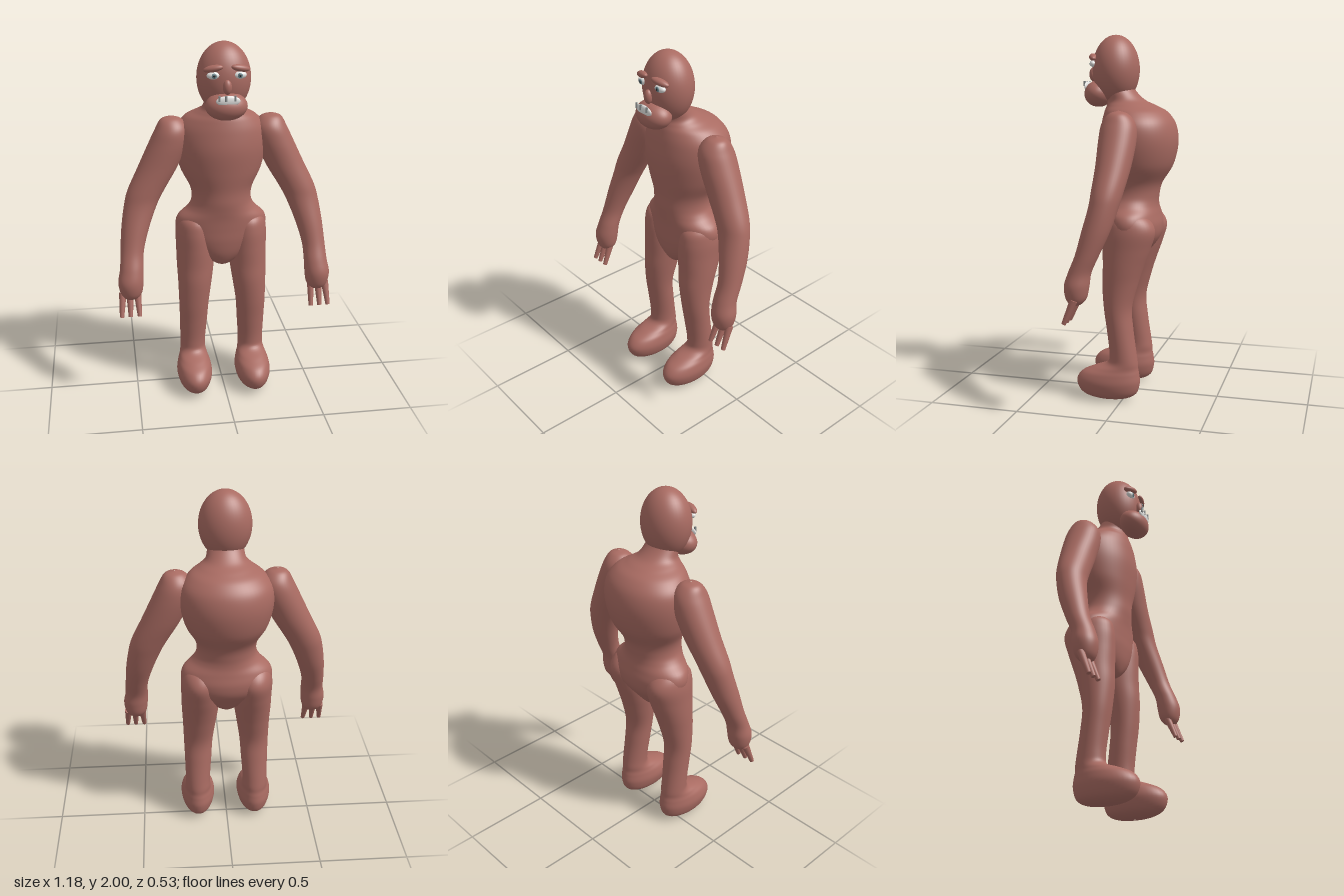
import * as THREE from 'three';

const mat = (name, color) => Object.assign(new THREE.MeshStandardMaterial({ color }), { name });

// Smooth closed body from horizontal elliptical sections, bottom to top: [x, y, z, radiusX, radiusZ]
function loft(sections, side = 1, rings = 64, segs = 40) {
  const centres = new THREE.CatmullRomCurve3(
    sections.map(([x, y, z]) => new THREE.Vector3(x * side, y, z)), false, 'catmullrom', 0.5);
  const radii = new THREE.CatmullRomCurve3(
    sections.map(([, , , rx, rz]) => new THREE.Vector3(rx, 0, rz)), false, 'catmullrom', 0.5);
  const pos = [], idx = [];
  for (let j = 0; j <= rings; j++) {
    const c = centres.getPoint(j / rings), r = radii.getPoint(j / rings);
    for (let i = 0; i < segs; i++) {
      const a = (i / segs) * Math.PI * 2;
      pos.push(c.x + Math.cos(a) * r.x, c.y, c.z + Math.sin(a) * r.z);
      if (j < rings) {
        const p = j * segs + i, q = j * segs + (i + 1) % segs;
        idx.push(p, p + segs, q, q, p + segs, q + segs);
      }
    }
  }
  const g = new THREE.BufferGeometry();
  g.setAttribute('position', new THREE.Float32BufferAttribute(pos, 3));
  g.setIndex(idx);
  g.computeVertexNormals();
  return g;
}

// Tapered rod from point a to point b
function rod(a, b, ra, rb) {
  const from = new THREE.Vector3(...a), dir = new THREE.Vector3(...b).sub(from);
  const g = new THREE.CylinderGeometry(rb, ra, dir.length(), 14);
  g.applyQuaternion(new THREE.Quaternion().setFromUnitVectors(
    new THREE.Vector3(0, 1, 0), dir.clone().normalize()));
  return g.translate(...from.addScaledVector(dir, 0.5).toArray());
}

const TORSO = [
  [0, 0.745, 0.01, 0.003, 0.003], [0, 0.76, 0.01, 0.05, 0.06], [0, 0.82, 0, 0.14, 0.105],
  [0, 0.9, -0.022, 0.22, 0.142], [0, 0.97, -0.027, 0.253, 0.15], [0, 1.03, -0.02, 0.242, 0.146],
  [0, 1.08, -0.012, 0.19, 0.144], [0, 1.13, -0.01, 0.165, 0.148], [0, 1.2, -0.017, 0.172, 0.158],
  [0, 1.3, -0.04, 0.222, 0.195], [0, 1.42, -0.048, 0.25, 0.213], [0, 1.52, -0.046, 0.245, 0.201],
  [0, 1.585, -0.03, 0.2, 0.172], [0, 1.62, -0.005, 0.145, 0.137], [0, 1.65, 0.025, 0.108, 0.103],
  [0, 1.7, 0.06, 0.095, 0.085], [0, 1.76, 0.08, 0.08, 0.07]];

const LEG = [
  [0.17, 0.003, 0.08, 0.003, 0.003], [0.17, 0.01, 0.08, 0.045, 0.095], [0.17, 0.04, 0.083, 0.082, 0.158],
  [0.17, 0.1, 0.085, 0.1, 0.18], [0.17, 0.15, 0.072, 0.094, 0.163], [0.17, 0.182, 0.042, 0.082, 0.127],
  [0.17, 0.215, 0.002, 0.073, 0.085], [0.17, 0.27, 0, 0.072, 0.075], [0.166, 0.4, 0.017, 0.078, 0.073],
  [0.163, 0.52, 0.03, 0.084, 0.077], [0.155, 0.65, 0.02, 0.095, 0.098], [0.15, 0.75, 0.003, 0.104, 0.113],
  [0.147, 0.85, -0.014, 0.108, 0.132], [0.148, 0.95, -0.028, 0.107, 0.144],
  [0.148, 1.02, -0.02, 0.088, 0.115], [0.15, 1.06, -0.02, 0.03, 0.04]];

const ARM = [
  [0.52, 0.617, 0.155, 0.003, 0.003], [0.52, 0.627, 0.153, 0.038, 0.032], [0.52, 0.66, 0.15, 0.06, 0.055],
  [0.52, 0.72, 0.147, 0.069, 0.065], [0.512, 0.79, 0.132, 0.064, 0.06], [0.505, 0.88, 0.095, 0.064, 0.062],
  [0.482, 1.0, 0.055, 0.076, 0.073], [0.448, 1.12, 0.024, 0.09, 0.077], [0.415, 1.2, 0.012, 0.1, 0.083],
  [0.35, 1.32, 0, 0.107, 0.092], [0.29, 1.45, -0.005, 0.105, 0.099], [0.268, 1.53, -0.005, 0.088, 0.09],
  [0.27, 1.582, -0.005, 0.055, 0.052], [0.272, 1.6, -0.005, 0.003, 0.003]];

export function createModel() {
  const model = new THREE.Group();
  const skin = mat('skin', 0xa96b62);
  const white = mat('white', 0xe4e4e2);
  const grey = mat('grey', 0x8c9090);
  const iris = mat('iris', 0x6f8c94);
  const dark = mat('pupil', 0x2a2a2c);

  const add = (name, geometry, material, parent = model) => {
    const m = new THREE.Mesh(geometry, material);
    m.name = name;
    parent.add(m);
    return m;
  };
  const ball = (name, at, radii, material, parent) => {
    const m = add(name, new THREE.SphereGeometry(1, 40, 28), material, parent);
    m.position.set(...at);
    m.scale.set(...radii);
    return m;
  };

  add('torso', loft(TORSO, 1, 96, 56), skin);

  // Limbs
  for (const s of [1, -1]) {
    const label = s > 0 ? 'left' : 'right';
    add(label + 'LegAndFoot', loft(LEG, s, 90), skin);
    add(label + 'Arm', loft(ARM, s, 84), skin);
    [[0.487, 0.48], [0.528, 0.53], [0.567, 0.578]].forEach(([x0, x1], i) =>
      add(label + 'Finger' + (i + 1),
        rod([x0 * s, 0.655, 0.148], [x1 * s, 0.53, 0.2], 0.021, 0.012), skin));
  }

  // Head and face
  const head = new THREE.Group();
  head.name = 'head';
  model.add(head);
  ball('skull', [0, 1.815, 0.083], [0.142, 0.185, 0.128], skin, head);
  ball('jaw', [0, 1.685, 0.18], [0.11, 0.073, 0.08], skin, head).rotation.x = 0.25;
  ball('nose', [0, 1.788, 0.214], [0.023, 0.038, 0.022], skin, head);
  ball('mouth', [0, 1.724, 0.244], [0.062, 0.027, 0.012], white, head);
  for (const x of [-0.046, -0.012, 0.035])
    add('tooth', rod([x, 1.724, 0.253], [x, 1.752, 0.253], 0.006, 0.006), grey, head);
  for (const s of [1, -1]) {
    const label = s > 0 ? 'left' : 'right';
    ball(label + 'Eye', [s * 0.066, 1.845, 0.19], [0.036, 0.02, 0.02], white, head);
    ball(label + 'Iris', [s * 0.066, 1.845, 0.208], [0.013, 0.013, 0.004], iris, head);
    ball(label + 'Pupil', [s * 0.066, 1.845, 0.211], [0.006, 0.006, 0.003], dark, head);
    ball(label + 'Brow', [s * 0.07, 1.88, 0.193], [0.052, 0.018, 0.022], skin, head)
      .rotation.set(0, s * 0.3, -s * 0.2);
  }
  return model;
}
